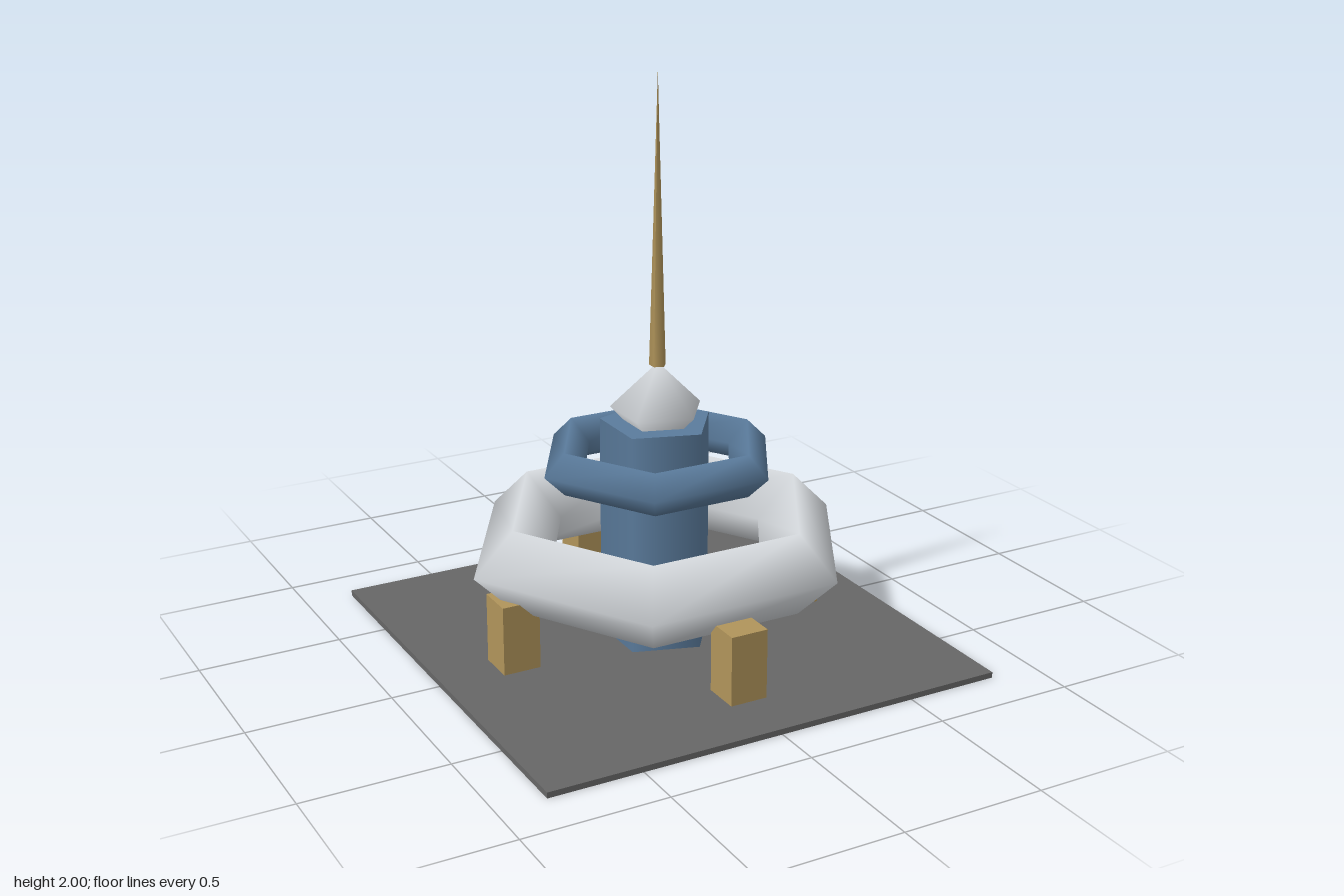
import * as THREE from 'three';

function material(name, color) {
  const m = new THREE.MeshStandardMaterial({ color });
  m.name = name;
  return m;
}

export function createModel() {
  const group = new THREE.Group();
  const grey = material('dark grey', 0x666666);
  const blue = material('steel blue', 0x5b7c9d);
  const white = material('pale grey', 0xd8dce0);
  const gold = material('gold', 0xb0945a);

  function add(name, geometry, mat, x, y, z) {
    const mesh = new THREE.Mesh(geometry, mat);
    mesh.name = name;
    mesh.position.set(x, y, z);
    group.add(mesh);
    return mesh;
  }

  // Ground plate
  add('basePlate', new THREE.BoxGeometry(1.66, 0.02, 1.66), grey, 0, 0.01, 0);

  // Five-sided tower with a corner on +x
  add('coreTower', new THREE.CylinderGeometry(0.2, 0.2, 0.79, 5).rotateY(Math.PI / 2), blue, 0, 0.405, 0);

  // Hexagonal rings with a diamond section
  const ring = (radius, tube) => new THREE.TorusGeometry(radius, tube, 4, 6).rotateX(-Math.PI / 2);
  add('lowerRing', ring(0.55, 0.145), white, 0, 0.36, 0);
  add('upperRing', ring(0.355, 0.075), blue, 0, 0.67, 0);

  // Faceted dome and tapering spire
  add('dome', new THREE.SphereGeometry(0.165, 5, 2).rotateY(Math.PI), white, 0, 0.845, 0);
  add('spire', new THREE.ConeGeometry(0.03, 1, 5).rotateY(Math.PI / 2), gold, 0, 1.5, 0);

  // Four support posts under the lower ring
  for (let i = 0; i < 4; i++) {
    const a = (i * Math.PI) / 2;
    add('supportPost', new THREE.BoxGeometry(0.134, 0.255, 0.134), gold,
      Math.cos(a) * 0.555, 0.1375, Math.sin(a) * 0.555);
  }
  return group;
}
